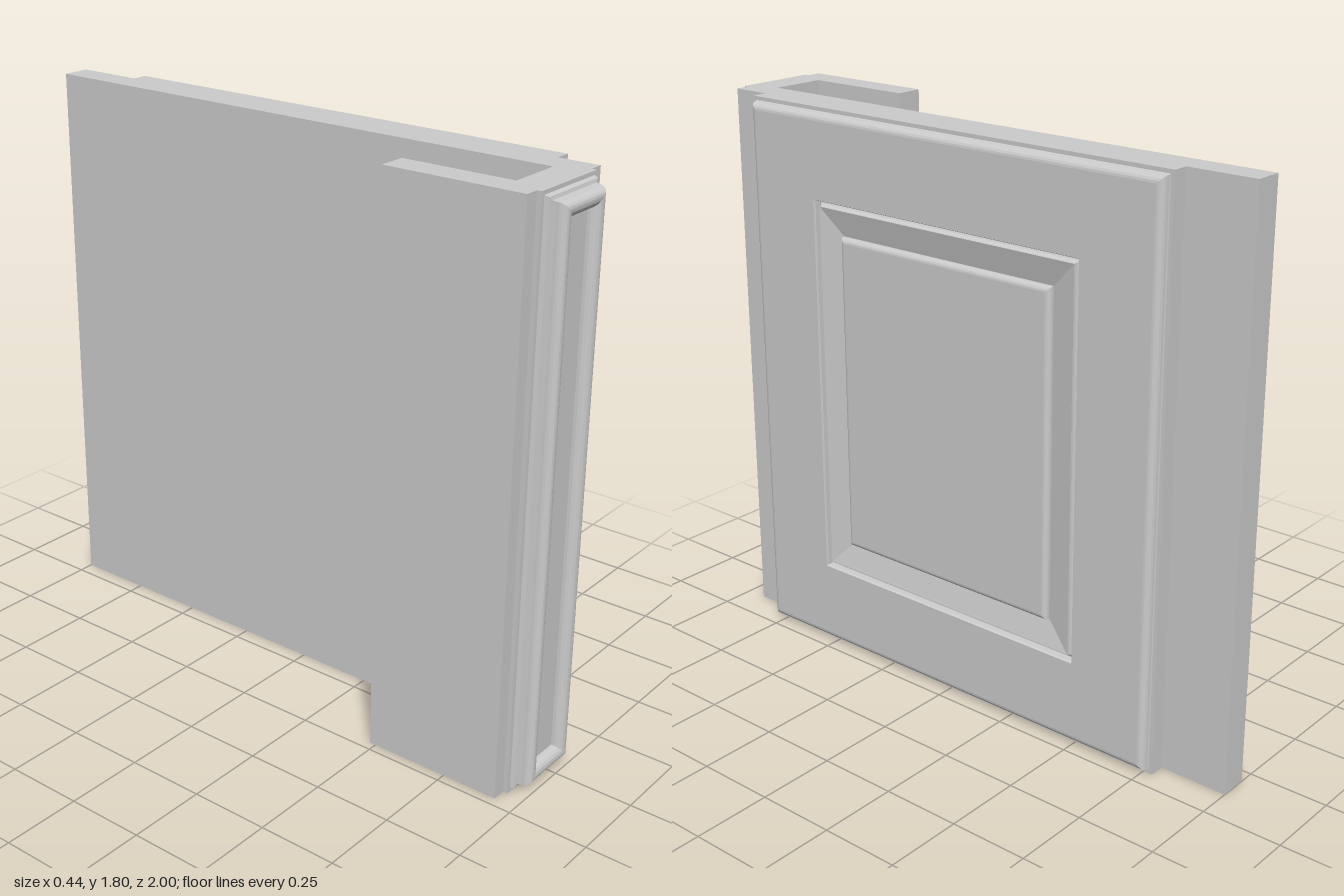
import * as THREE from 'three';

const HEIGHT = 1.8;

// Panel made of nested rectangular loops; each step is [inset from the edge, height above the base].
function mouldedPanel(name, halfW, halfH, steps, material) {
  const pos = [];
  const loop = ([inset, z]) => [[-1, -1], [1, -1], [1, 1], [-1, 1]]
    .map(([sx, sy]) => [sx * (halfW - inset), sy * (halfH - inset), z]);
  const quad = (a, b, c, d) => pos.push(...a, ...b, ...c, ...a, ...c, ...d);
  for (let i = 0; i < steps.length - 1; i++) {
    const lo = loop(steps[i]), hi = loop(steps[i + 1]);
    for (let k = 0; k < 4; k++) {
      const n = (k + 1) % 4;
      quad(lo[k], lo[n], hi[n], hi[k]);
    }
  }
  quad(...loop(steps[steps.length - 1])); // centre field
  const [a, b, c, d] = loop(steps[0]);
  quad(d, c, b, a); // back
  const geo = new THREE.BufferGeometry();
  geo.setAttribute('position', new THREE.Float32BufferAttribute(pos, 3));
  geo.computeVertexNormals();
  const mesh = new THREE.Mesh(geo, material);
  mesh.name = name;
  return mesh;
}

// Quarter-round steps from one corner to another; the edge is upright first.
function quarterRound(i0, z0, i1, z1, n = 5) {
  return Array.from({ length: n + 1 }, (_, k) => {
    const a = (k / n) * Math.PI / 2;
    return [i0 + (i1 - i0) * (1 - Math.cos(a)), z0 + (z1 - z0) * Math.sin(a)];
  });
}

export function createModel() {
  const group = new THREE.Group();
  const material = new THREE.MeshStandardMaterial({ color: 0xcccccc });

  // J-shaped carcass: long side wall, front strip and short return
  const outline = [
    [0.05, -1], [0.14, -1], [0.14, 0.93], [-0.22, 0.93],
    [-0.22, 0.48], [-0.13, 0.48], [-0.13, 0.84], [0.05, 0.84],
  ].map(([x, z]) => new THREE.Vector2(x, -z));
  const carcassGeo = new THREE.ExtrudeGeometry(new THREE.Shape(outline), { depth: HEIGHT, bevelEnabled: false });
  carcassGeo.rotateX(-Math.PI / 2);
  const carcass = new THREE.Mesh(carcassGeo, material);
  carcass.name = 'carcass';
  group.add(carcass);

  // Side panel: stepped round edge, sunk band and raised centre field
  const side = mouldedPanel('sidePanel', 0.79, 0.9, [
    [0, 0], [0, 0.05], [0.012, 0.05],
    ...quarterRound(0.014, 0.055, 0.036, 0.08),
    [0.28, 0.08], [0.283, 0.074],
    ...quarterRound(0.285, 0.074, 0.3, 0.055).reverse().map(([i, z]) => [0.585 - i, z]),
    [0.383, 0.055],
    ...quarterRound(0.383, 0.058, 0.4, 0.076),
  ], material);
  side.rotation.y = Math.PI / 2;
  side.position.set(0.14, HEIGHT / 2, 0.01);
  group.add(side);

  // Narrow front panel: stepped edge with a sunk centre
  const front = mouldedPanel('frontPanel', 0.135, 0.9, [
    [0, 0], [0, 0.015], [0.012, 0.015], [0.016, 0.028], [0.026, 0.031],
    ...quarterRound(0.028, 0.042, 0.048, 0.07),
    [0.052, 0.07],
    ...quarterRound(0.08, 0.04, 0.052, 0.07).reverse(),
  ], material);
  front.position.set(-0.04, HEIGHT / 2, 0.93);
  group.add(front);

  return group;
}
